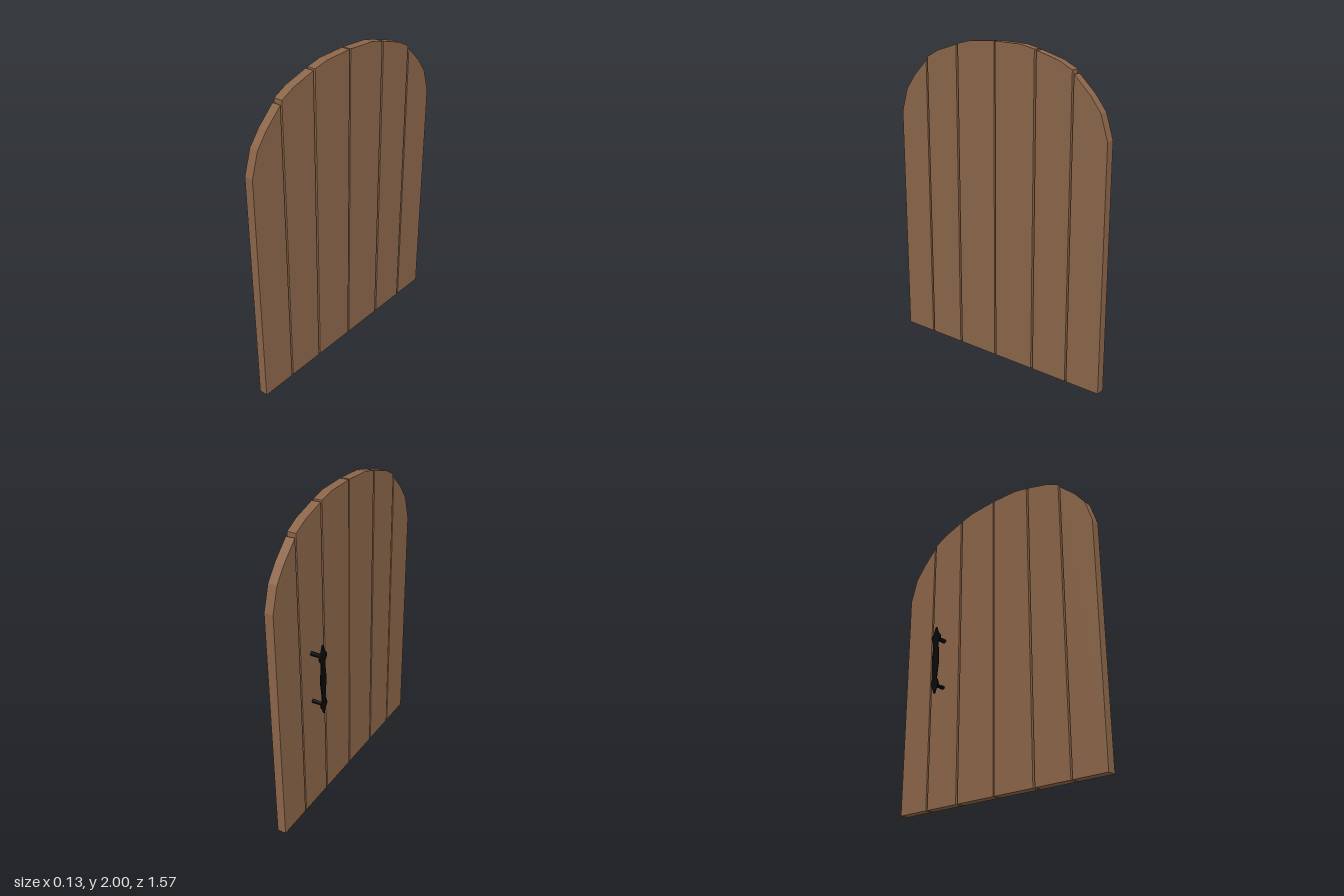
import * as THREE from 'three';

// Extrudes a (z, y) outline along x, from x0 to x1
function slab(points, x0, x1) {
  const shape = new THREE.Shape(points.map(([z, y]) => new THREE.Vector2(z, y)));
  const geo = new THREE.ExtrudeGeometry(shape, { depth: x1 - x0, bevelEnabled: false });
  return geo.rotateY(-Math.PI / 2).translate(x1, 0, 0);
}

export function createModel() {
  const model = new THREE.Group();
  model.name = 'archedDoor';

  const wood = new THREE.MeshStandardMaterial({ color: 0x8b6549, flatShading: true });
  wood.name = 'brown wood';
  const iron = new THREE.MeshStandardMaterial({ color: 0x0a0a0a, flatShading: true });
  iron.name = 'black iron';

  function add(parent, geometry, material, name) {
    const mesh = new THREE.Mesh(geometry, material);
    mesh.name = name;
    parent.add(mesh);
    return mesh;
  }

  // Planks: top edge of each one from the middle outwards, mirrored in z
  const planks = new THREE.Group();
  planks.name = 'planks';
  model.add(planks);
  const tops = {
    innerPlank: [[0.005, 2], [0.19, 1.992], [0.288, 1.97]],
    middlePlank: [[0.302, 1.965], [0.455, 1.92], [0.545, 1.875]],
    outerPlank: [[0.557, 1.853], [0.665, 1.75], [0.735, 1.66], [0.783, 1.51]],
  };
  for (const [name, top] of Object.entries(tops)) {
    const outline = [[top[0][0], 0], ...top, [top[top.length - 1][0], 0]];
    for (const side of [1, -1]) {
      const points = outline.map(([z, y]) => [z * side, y]);
      add(planks, slab(points, 0.01, 0.066), wood, name + (side > 0 ? 'Front' : 'Back'));
    }
  }

  // Handle: thin shaped grip held off the door by two round posts
  const handle = new THREE.Group();
  handle.name = 'handle';
  handle.position.z = -0.435;
  model.add(handle);
  const half = [ // half width, height
    [0.006, 1.175], [0.014, 1.15], [0.024, 1.13], [0.044, 1.105], [0.036, 1.08],
    [0.02, 1.06], [0.024, 1.02], [0.03, 0.96], [0.03, 0.92], [0.022, 0.86],
    [0.017, 0.815], [0.03, 0.79], [0.036, 0.768], [0.02, 0.745], [0.012, 0.73], [0.005, 0.71],
  ];
  const grip = [...half, ...half.map(([w, y]) => [-w, y]).reverse()];
  add(handle, slab(grip, -0.069, -0.063), iron, 'grip');
  for (const [name, y, r] of [['upperPost', 1.098, 0.014], ['lowerPost', 0.77, 0.012]]) {
    const post = new THREE.CylinderGeometry(r, r, 0.077, 10).rotateZ(Math.PI / 2);
    add(handle, post, iron, name).position.set(-0.0265, y, 0);
  }
  return model;
}
